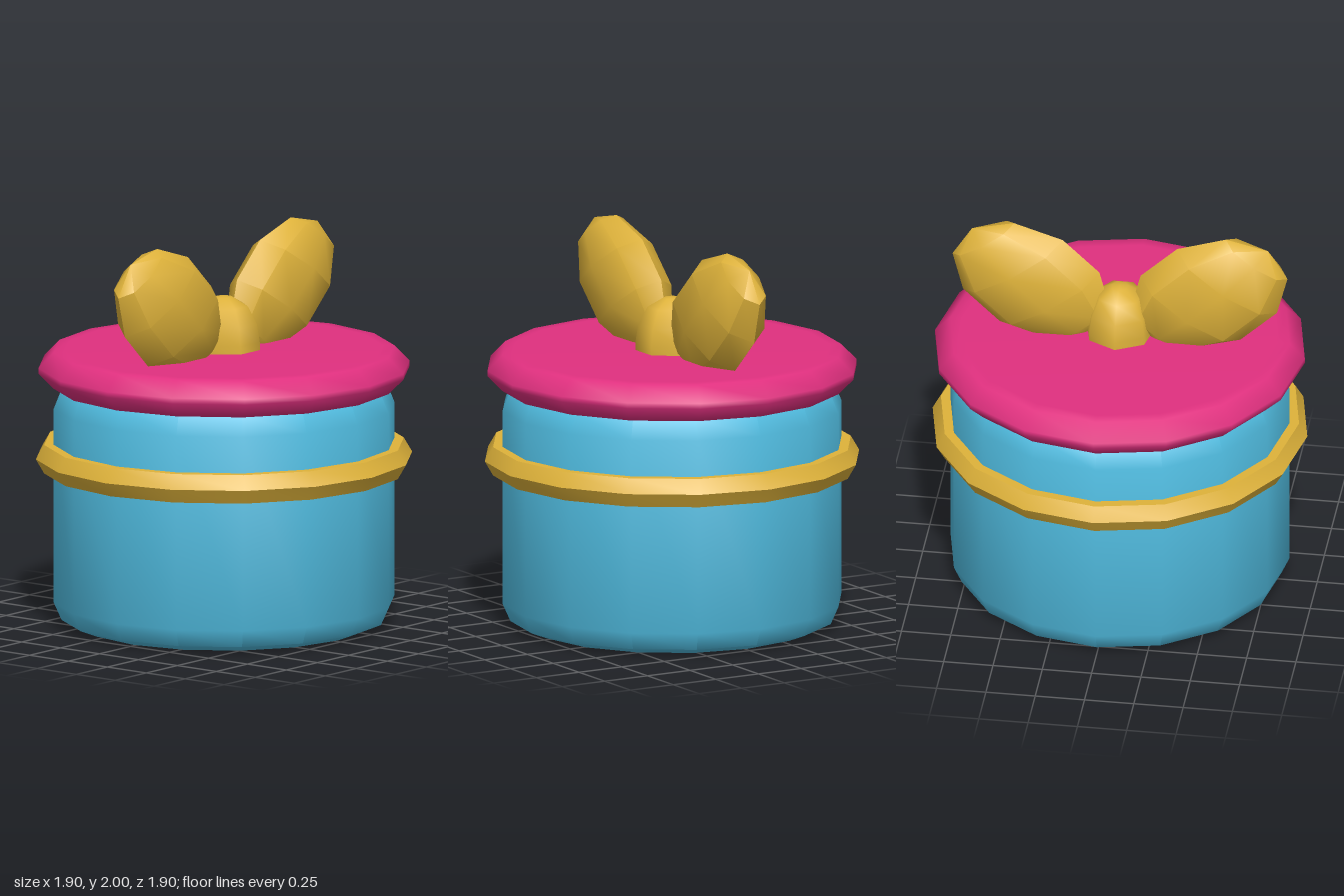
import * as THREE from 'three';
import { toCreasedNormals } from 'three/addons/utils/BufferGeometryUtils.js';

function material(name, color) {
  const m = new THREE.MeshStandardMaterial({ color });
  m.name = name;
  return m;
}

// Revolved low-poly shape; profile runs from the bottom up the outside
function lathe(points, sides, crease, phiStart = 0) {
  const profile = points.map(([r, y]) => new THREE.Vector2(r, y));
  return toCreasedNormals(new THREE.LatheGeometry(profile, sides, phiStart), crease);
}

export function createModel() {
  const group = new THREE.Group();
  const blue = material('blue', 0x50bce0);
  const pink = material('pink', 0xe0307f);
  const gold = material('gold', 0xdeb23a);

  const add = (name, geometry, mat) => {
    const mesh = new THREE.Mesh(geometry, mat);
    mesh.name = name;
    group.add(mesh);
  };

  // Round box with softened rims
  add('boxBody', lathe([
    [0, 0], [0.65, 0], [0.73, 0.005], [0.82, 0.04], [0.86, 0.13],
    [0.86, 1.12], [0.82, 1.22], [0.73, 1.26], [0, 1.26],
  ], 16, 0.8), blue);

  // Bevelled lid
  add('lid', lathe([
    [0, 1.22], [0.8, 1.22], [0.86, 1.222], [0.937, 1.3],
    [0.937, 1.328], [0.86, 1.408], [0.8, 1.41], [0, 1.41],
  ], 16, 1), pink);

  // Ribbon band with a six-sided section
  const section = [];
  for (let i = 0; i <= 6; i++) {
    const a = i * Math.PI / 3;
    section.push([0.866 + 0.084 * Math.cos(a), 0.863 + 0.084 * Math.sin(a)]);
  }
  add('ribbonBand', lathe(section, 16, 0.7), gold);

  // Bow loops: flattened spheres tilted up and outward
  for (const side of [1, -1]) {
    const loop = new THREE.SphereGeometry(1, 8, 5);
    const placement = new THREE.Matrix4().makeBasis(
      new THREE.Vector3(-0.266 * side, 0.176, 0),
      new THREE.Vector3(0.3 * side, 0.285, 0),
      new THREE.Vector3(0, 0, -0.155 * side),
    ).setPosition(0.45 * side, 1.665, 0);
    loop.applyMatrix4(placement);
    add(side > 0 ? 'leftBowLoop' : 'rightBowLoop', toCreasedNormals(loop, 0.75), gold);
  }

  // Seven-sided knot with a corner towards the back
  const knot = lathe([
    [0, 1.3], [0.187, 1.38], [0.187, 1.45], [0.172, 1.54], [0.125, 1.63], [0.045, 1.675], [0, 1.68],
  ], 7, 0.95, Math.PI);
  knot.scale(0.95, 1, 1);
  add('bowKnot', knot, gold);

  return group;
}
